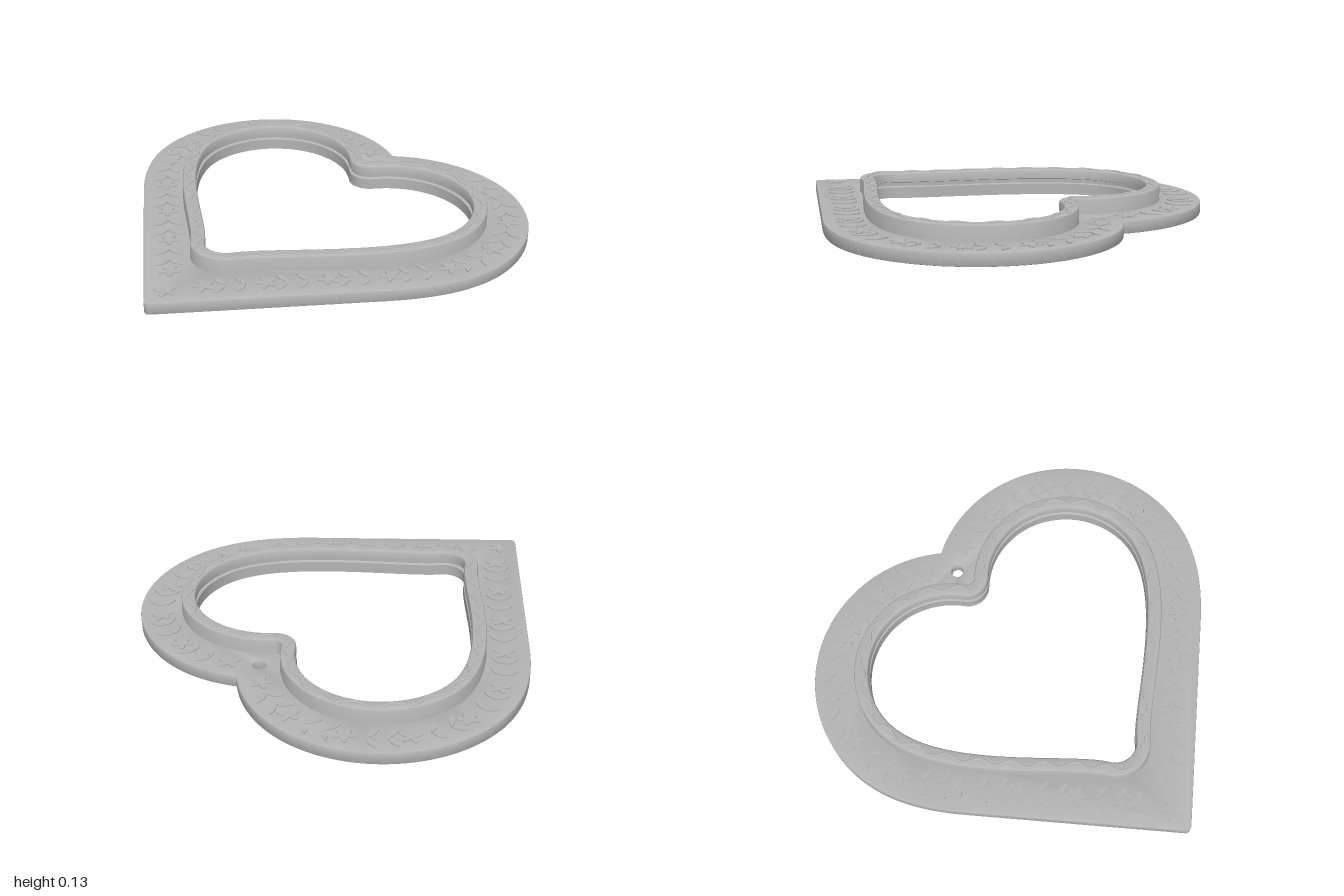
import * as THREE from 'three';
import { toCreasedNormals } from 'three/addons/utils/BufferGeometryUtils.js';

const PLATE_TOP = 0.056;

// Mirrors the right half of a heart (notch to tip) into a closed loop.
function closeHeart(half) {
  const left = half.slice(1, -1).reverse().map(p => new THREE.Vector2(-p.x, p.y));
  return [...half, ...left];
}

// Outline of the window opening; y of the 2D points is the model's z.
function windowOutline() {
  const path = new THREE.Path();
  path.absarc(0, -0.64, 0.1, Math.PI / 2, 0.711, true);
  path.absarc(0.36, -0.33, 0.375, 0.711 - Math.PI, 0, false);
  path.bezierCurveTo(0.735, 0, 0.2, 0.33, 0.082, 0.492);
  path.absarc(0, 0.435, 0.1, 0.607, Math.PI / 2, false);
  const half = path.getSpacedPoints(150);
  half[0].x = half[half.length - 1].x = 0;
  return closeHeart(half);
}

function plateOutline() {
  const path = new THREE.Path();
  path.absarc(0.36, -0.32, 0.64, Math.acos(0.36 / 0.64) - Math.PI, 0, false);
  path.bezierCurveTo(1, -0.08, 0.86, 0.1, 0.72, 0.24);
  path.lineTo(0.025, 0.937);
  path.quadraticCurveTo(0.012, 0.952, 0, 0.952);
  const half = path.getPoints(40);
  half[0].x = half[half.length - 1].x = 0;
  return closeHeart(half);
}

// Outward unit normals of a closed loop.
function loopNormals(loop) {
  const n = loop.length;
  return loop.map((_, i) => {
    const t = loop[(i + 1) % n].clone().sub(loop[(i + n - 1) % n]).normalize();
    return new THREE.Vector2(t.y, -t.x);
  });
}

// Sweeps a closed section of [offset, height] pairs around a loop.
function sweep(loop, section, shift = () => 0) {
  const normals = loopNormals(loop), n = loop.length, m = section.length;
  const pos = [], index = [];
  loop.forEach((p, i) => section.forEach(([off, y]) => {
    const d = off + shift(i / n);
    pos.push(p.x + normals[i].x * d, y, p.y + normals[i].y * d);
  }));
  for (let i = 0; i < n; i++) for (let j = 0; j < m; j++) {
    const i2 = (i + 1) % n, j2 = (j + 1) % m;
    const a = i * m + j, b = i * m + j2, c = i2 * m + j, d = i2 * m + j2;
    index.push(a, b, c, b, d, c);
  }
  const geo = new THREE.BufferGeometry();
  geo.setAttribute('position', new THREE.Float32BufferAttribute(pos, 3));
  geo.setIndex(index);
  return toCreasedNormals(geo, 0.6);
}

// Extrudes a shape and lays it flat with its top at the given height.
function flat(shape, depth, top, bevel = 0) {
  const geo = new THREE.ExtrudeGeometry(shape, {
    depth: depth - 2 * bevel, curveSegments: 16, bevelEnabled: bevel > 0,
    bevelThickness: bevel, bevelSize: bevel, bevelOffset: -bevel, bevelSegments: 2,
  });
  geo.rotateX(Math.PI / 2);
  geo.translate(0, top - bevel, 0);
  return toCreasedNormals(geo, 0.5);
}

function starShape() {
  const pts = [];
  for (let i = 0; i < 30; i++) {
    const a = i / 30 * Math.PI * 2, r = 0.036 + 0.015 * Math.cos(5 * a);
    pts.push(new THREE.Vector2(r * Math.cos(a), r * Math.sin(a)));
  }
  return new THREE.Shape(pts);
}

// A pointed leaf that starts at the origin and leans away from the vine.
function leafShape(side) {
  const rotate = (x, y) => [x * 0.6 - y * 0.8 * side, x * 0.8 * side + y * 0.6];
  const s = new THREE.Shape();
  s.moveTo(0, 0);
  s.quadraticCurveTo(...rotate(0.035, 0.024), ...rotate(0.075, 0));
  s.quadraticCurveTo(...rotate(0.035, -0.024), 0, 0);
  return s;
}

export function createModel() {
  const grey = new THREE.MeshStandardMaterial({ color: 0xb4b4b4 });
  grey.name = 'grey';
  const model = new THREE.Group();
  model.name = 'heartFrame';
  const add = (name, geo, parent = model) => {
    const mesh = new THREE.Mesh(geo, grey);
    mesh.name = name;
    parent.add(mesh);
    return mesh;
  };

  const inner = windowOutline(), normals = loopNormals(inner);

  // Heart plate with the window and a small hanging hole
  const plate = new THREE.Shape(plateOutline());
  plate.holes.push(new THREE.Path(inner.map((p, i) => p.clone().addScaledVector(normals[i], 0.03))));
  plate.holes.push(new THREE.Path().absarc(0, -0.722, 0.029, 0, Math.PI * 2, true));
  add('plate', flat(plate, PLATE_TOP, PLATE_TOP, 0.005));

  // Raised rim around the window, with a groove in its inner wall
  add('rim', sweep(inner, [
    [0.045, 0], [0.045, 0.045], [0.068, 0.05], [0.066, 0.06], [0.065, 0.118], [0.062, 0.124], [0.055, 0.127],
    [0.012, 0.127], [0.004, 0.124], [0, 0.118], [0, 0.08], [0.014, 0.076], [0.014, 0.058], [0, 0.054], [0, 0],
  ]));

  // Wavy cord on top of the rim
  add('rimCord', sweep(inner, [
    [0.042, 0.124], [0.041, 0.13], [0.036, 0.132], [0.03, 0.132], [0.025, 0.13], [0.024, 0.124],
  ], t => 0.013 * Math.sin(t * Math.PI * 2 * 30)));

  // Low relief of stars and leaves along both sides of the plate
  const star = flat(starShape(), 0.008, PLATE_TOP + 0.005);
  const leaves = [1, -1].map(s => flat(leafShape(s), 0.008, PLATE_TOP + 0.005));
  const vine = new THREE.Path();
  vine.absarc(0.36, -0.325, 0.54, -2.05, 0, false);
  vine.bezierCurveTo(0.9, -0.12, 0.76, 0.04, 0.6, 0.2);
  vine.lineTo(0.1, 0.7);
  const count = 27;
  const points = vine.getSpacedPoints(count);
  for (const side of [1, -1]) {
    const relief = new THREE.Group();
    relief.name = side > 0 ? 'leftRelief' : 'rightRelief';
    model.add(relief);
    points.forEach((p, i) => {
      const q = points[Math.min(i + 1, count)], o = points[Math.max(i - 1, 0)];
      const turn = -Math.atan2(q.y - o.y, (q.x - o.x) * side);
      const parts = i % 3 === 0 ? [add('star', star, relief)] : leaves.map(l => add('leaf', l, relief));
      for (const part of parts) {
        part.position.set(p.x * side, 0, p.y);
        part.rotation.y = turn;
      }
    });
  }
  add('tipStar', star).position.z = 0.83;
  return model;
}
